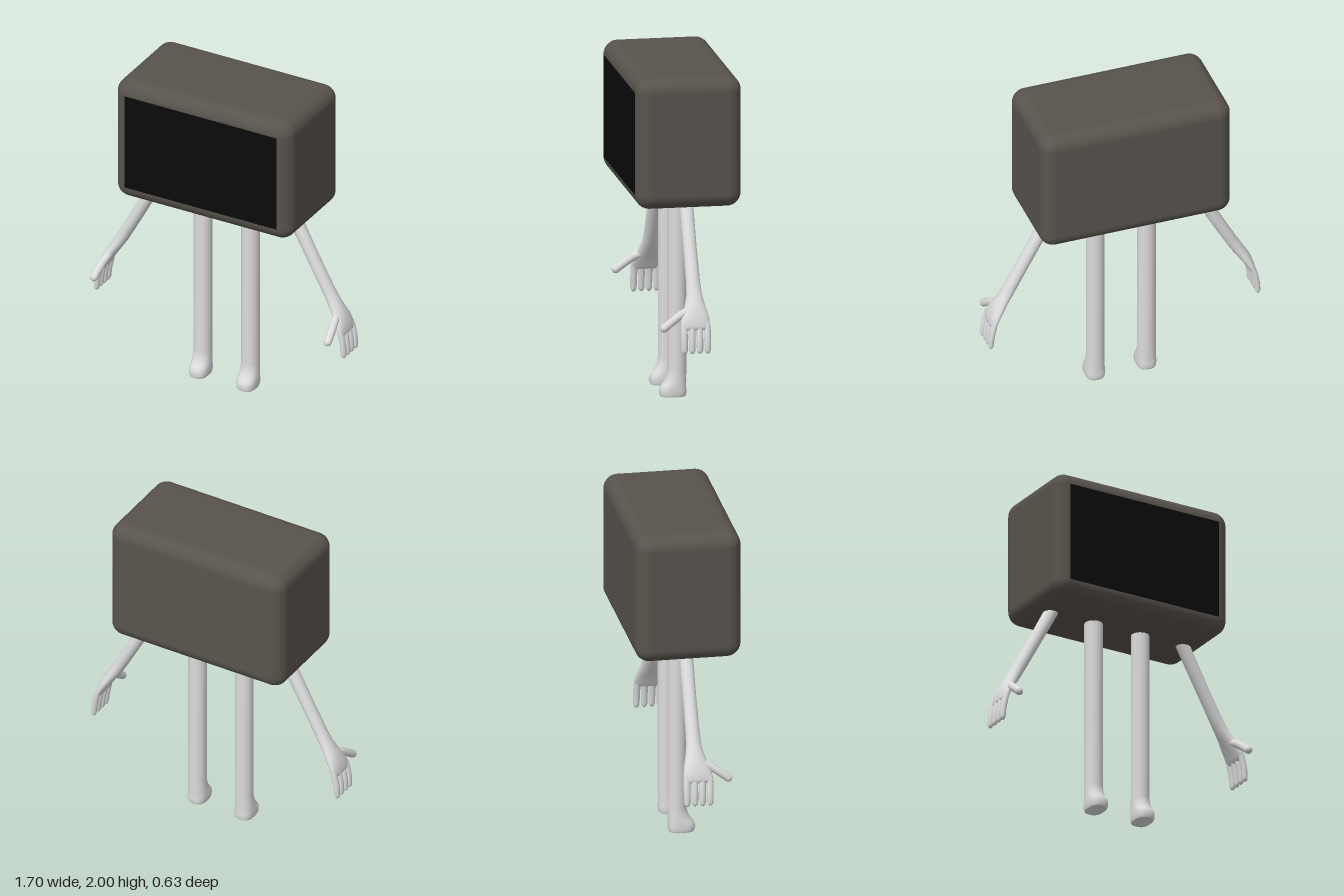
import * as THREE from 'three';
import { RoundedBoxGeometry } from 'three/addons/geometries/RoundedBoxGeometry.js';

// Smooth skin over horizontal rings, listed from top to bottom:
// [x, y, z, half width in x, half width in z, squareness (1 = ellipse)]
function loft(sections, sides = 24) {
  const pos = [], index = [];
  sections.forEach(([x, y, z, rx, rz, square = 1], r) => {
    for (let i = 0; i < sides; i++) {
      const a = (i / sides) * Math.PI * 2;
      const c = Math.cos(a), s = Math.sin(a);
      pos.push(
        x + rx * Math.sign(c) * Math.abs(c) ** square, y,
        z + rz * Math.sign(s) * Math.abs(s) ** square);
      if (r === 0) continue;
      const j = (i + 1) % sides, u = (r - 1) * sides, l = r * sides;
      index.push(u + i, u + j, l + j, u + i, l + j, l + i);
    }
  });
  const g = new THREE.BufferGeometry();
  g.setAttribute('position', new THREE.Float32BufferAttribute(pos, 3));
  g.setIndex(index);
  g.computeVertexNormals();
  return g;
}

export function createModel() {
  const model = new THREE.Group();
  model.name = 'boxFigure';

  const mat = (name, color) => {
    const m = new THREE.MeshStandardMaterial({ color });
    m.name = name;
    return m;
  };
  const casing = mat('casingGrey', 0x58534c);
  const black = mat('screenBlack', 0x0a0a0a);
  const limb = mat('limbWhite', 0xdcdcdc);

  const add = (parent, name, geometry, material) => {
    const mesh = new THREE.Mesh(geometry, material);
    mesh.name = name;
    parent.add(mesh);
    return mesh;
  };

  // Rounded body with a flush screen
  add(model, 'body', new RoundedBoxGeometry(1.184, 0.785, 0.63, 6, 0.085), casing)
    .position.y = 1.6075;
  add(model, 'screen', new THREE.BoxGeometry(1.02, 0.615, 0.004), black)
    .position.set(0, 1.607, 0.315);

  for (const [side, s] of [['left', 1], ['right', -1]]) {
    const flip = (sections) => sections.map(([x, ...rest]) => [s * x, ...rest]);

    // Leg ending in a short flat-soled foot
    add(model, side + 'Leg', loft(flip([
      [0.16, 1.25, 0, 0.055, 0.055],
      [0.16, 0.6, 0, 0.055, 0.055],
      [0.16, 0.16, 0, 0.055, 0.055],
      [0.16, 0.12, 0.004, 0.056, 0.058, 0.95],
      [0.16, 0.09, 0.01, 0.058, 0.064, 0.9],
      [0.16, 0.07, 0.018, 0.059, 0.071, 0.85],
      [0.16, 0.055, 0.024, 0.06, 0.077, 0.8],
      [0.16, 0.035, 0.026, 0.06, 0.08, 0.75],
      [0.16, 0.012, 0.026, 0.059, 0.079, 0.75],
      [0.16, 0, 0.026, 0.054, 0.074, 0.75],
      [0.16, 0, 0.026, 0.054, 0.074, 0.75],
      [0.16, 0, 0.026, 0.001, 0.001],
    ])), limb);

    const arm = new THREE.Group();
    arm.name = side + 'Arm';
    model.add(arm);

    // Arm widening into a flat palm
    add(arm, 'armAndPalm', loft(flip([
      [0.432, 1.26, 0, 0.046, 0.042],
      [0.58, 0.98, 0, 0.043, 0.04],
      [0.678, 0.8, 0, 0.042, 0.042],
      [0.718, 0.73, 0, 0.042, 0.047],
      [0.75, 0.68, 0.002, 0.04, 0.06],
      [0.773, 0.64, 0.004, 0.036, 0.073, 0.9],
      [0.793, 0.6, 0.008, 0.029, 0.084, 0.85],
      [0.806, 0.565, 0.01, 0.023, 0.088, 0.8],
      [0.812, 0.545, 0.01, 0.016, 0.085, 0.8],
      [0.813, 0.54, 0.01, 0.001, 0.06],
    ])), limb);

    // Four fingers
    [0.078, 0.032, -0.014, -0.06].forEach((z, i) => {
      add(arm, 'finger' + (i + 1), loft(flip([
        [0.803, 0.585, z, 0.016, 0.018],
        [0.815, 0.54, z, 0.019, 0.021],
        [0.827, 0.48, z, 0.018, 0.02],
        [0.831, 0.425, z, 0.017, 0.019],
        [0.832, 0.412, z, 0.013, 0.014],
        [0.832, 0.405, z, 0.007, 0.008],
        [0.832, 0.403, z, 0.001, 0.001],
      ]), 14), limb);
    });

    // Thumb curving forward, with a rounded tip
    const path = new THREE.CatmullRomCurve3([
      [0.762, 0.655, 0.03], [0.772, 0.63, 0.085],
      [0.782, 0.592, 0.14], [0.787, 0.553, 0.192],
    ].map(([x, y, z]) => new THREE.Vector3(s * x, y, z)));
    add(arm, 'thumb', new THREE.TubeGeometry(path, 14, 0.024, 14), limb);
    add(arm, 'thumbTip', new THREE.SphereGeometry(0.024, 14, 10), limb)
      .position.copy(path.getPoint(1));
  }
  return model;
}
